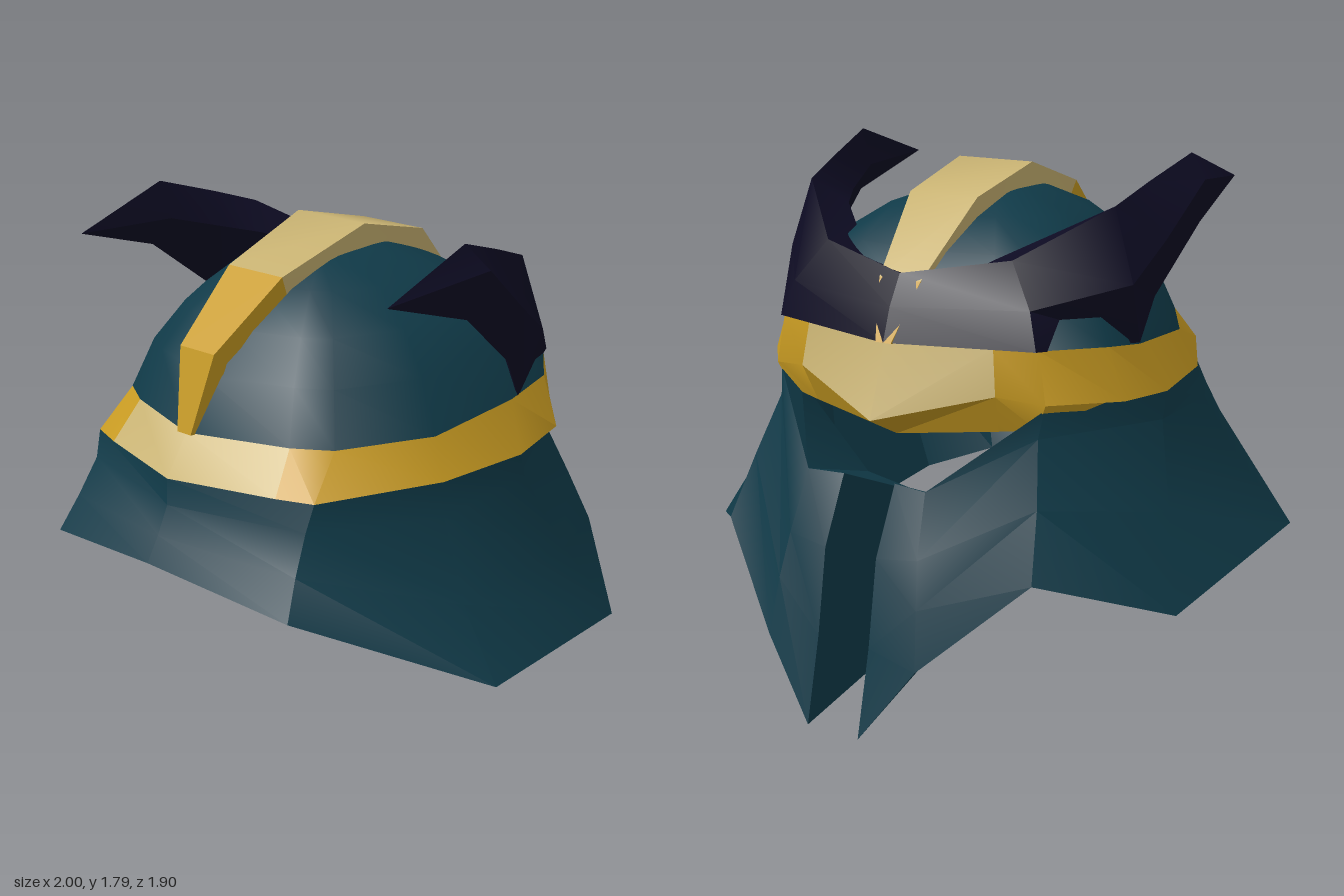
import * as THREE from 'three';
import { toCreasedNormals } from 'three/addons/utils/BufferGeometryUtils.js';

const mat = (name, color) => new THREE.MeshStandardMaterial({ name, color, side: THREE.DoubleSide });

// Surface through a list of columns, each a list of [x, y, z] points
function grid(cols, crease = 0.6) {
  const rows = cols[0].length, index = [];
  for (let i = 0; i < cols.length - 1; i++) {
    for (let j = 0; j < rows - 1; j++) {
      const a = i * rows + j, b = a + 1, c = b + rows, d = a + rows;
      index.push(a, b, c, a, c, d);
    }
  }
  const g = new THREE.BufferGeometry();
  g.setAttribute('position', new THREE.Float32BufferAttribute(cols.flat(2), 3));
  g.setIndex(index);
  return toCreasedNormals(g, crease);
}

const flip = ([x, y, z]) => [-x, y, z];
const flipCols = (cols) => cols.map((c) => c.map(flip)).reverse();
// Half columns starting on the centre plane, completed across it
const both = (cols) => [...flipCols(cols.slice(1)), ...cols];

export function createModel() {
  const model = new THREE.Group();
  model.name = 'helmet';
  const teal = mat('dark teal', 0x103a48);
  const gold = mat('gold', 0xc79a22);
  const tan = mat('pale gold', 0xc8b272);
  const navy = mat('dark navy', 0x0d0b22);
  const add = (name, geometry, material) => {
    const mesh = new THREE.Mesh(geometry, material);
    mesh.name = name;
    model.add(mesh);
  };

  // Brow band, front to back: top edge, outer edge, lower inner edge
  const band = [
    [[0, 1.17, 0.76], [0, 1.04, 0.85], [0, 1.04, 0.78]],
    [[0.34, 1.17, 0.645], [0.37, 1.04, 0.745], [0.34, 1.04, 0.68]],
    [[0.46, 1.17, 0.57], [0.49, 1.04, 0.7], [0.44, 1.04, 0.64]],
    [[0.62, 1.17, 0.27], [0.68, 1.04, 0.3], [0.62, 1.04, 0.28]],
    [[0.65, 1.2, -0.1], [0.73, 1.04, -0.05], [0.67, 1.04, -0.05]],
    [[0.64, 1.23, -0.3], [0.7, 1.06, -0.3], [0.64, 1.05, -0.29]],
    [[0.5, 1.24, -0.5], [0.53, 1.07, -0.51], [0.49, 0.98, -0.49]],
    [[0.36, 1.24, -0.545], [0.38, 1.09, -0.565], [0.36, 0.96, -0.51]],
    [[0, 1.24, -0.62], [0, 0.99, -0.71], [0, 0.91, -0.56]],
  ];
  const sideBand = band.slice(1, 8), backBand = band.slice(7).reverse();
  add('bandFront', grid(both(band.slice(0, 2))), tan);
  add('bandLeft', grid(sideBand), gold);
  add('bandRight', grid(flipCols(sideBand)), gold);
  add('bandBackPeak', grid(both(backBand.map((c) => c.slice(0, 2)))), tan);
  add('bandBackUnderside', grid(both(backBand.map((c) => c.slice(1)))), gold);

  // Dome rising from the band's top edge: height and remaining radius
  const levels = [[0, 1], [0.34, 0.88], [0.6, 0.72], [0.82, 0.5], [0.96, 0.25], [1, 0]];
  const dome = band.map(([[x, y, z]]) =>
    levels.map(([t, r]) => [x * r, y + (1.67 - y) * t, 0.07 + (z - 0.07) * r]).reverse());
  add('dome', grid(both(dome), 1.0), teal);

  // Flared skirt with cheek flaps: four outer points, inner lip, inner top
  const skirt = [
    [[0, 1.04, 0.85], [0, 0.95, 0.855], [0, 0.86, 0.9], [0, 0.78, 0.95], [0, 0.6, 0.52], [0, 1.04, 0.78]],
    [[0.49, 1.04, 0.7], [0.48, 0.95, 0.73], [0.5, 0.83, 0.8], [0.53, 0.71, 0.87], [0.25, 0.545, 0.45], [0.44, 1.04, 0.64]],
    [[0.68, 1.04, 0.3], [0.7, 0.93, 0.32], [0.83, 0.69, 0.38], [1, 0.48, 0.43], [0.43, 0.49, 0.27], [0.62, 1.04, 0.28]],
    [[0.73, 1.04, -0.05], [0.73, 0.95, -0.08], [0.82, 0.68, -0.2], [0.93, 0.4, -0.36], [0.5, 0.41, -0.2], [0.67, 1.04, -0.05]],
    [[0.52, 1.05, -0.5], [0.51, 0.96, -0.52], [0.56, 0.76, -0.61], [0.6, 0.55, -0.71], [0.36, 0.42, -0.43], [0.47, 1.0, -0.46]],
    [[0.23, 0.8, -0.74], [0.25, 0.6, -0.82], [0.27, 0.45, -0.86], [0.29, 0.26, -0.9], [0.2, 0.28, -0.42], [0.22, 0.7, -0.42]],
    [[0.1, 0.8, -0.72], [0.1, 0.58, -0.83], [0.1, 0.29, -0.88], [0.1, 0, -0.95], [0.065, 0.12, -0.4], [0.065, 0.62, -0.32]],
  ];
  add('skirt', grid(both(skirt.map((c) => [...c, c[0]]))), teal);

  // Inner walls of the flaps along the face gap
  const [p0, p1, p2, p3, lip, top] = skirt[6];
  const mix = (t) => top.map((v, i) => v + (lip[i] - v) * t);
  const wall = [[p0, top], [p1, mix(0.3)], [p2, mix(0.65)], [p3, lip]];
  add('leftFlapWall', grid(wall), teal);
  add('rightFlapWall', grid(flipCols(wall)), teal);

  // Crest strap over the dome: height, depth, half width
  const crest = [
    [1.17, 0.77, 0.03], [1.43, 0.7, 0.075], [1.63, 0.43, 0.118], [1.74, 0.06, 0.147],
    [1.66, -0.27, 0.132], [1.42, -0.53, 0.08], [1.23, -0.63, 0.03],
  ].map(([y, z, w]) => {
    const iy = 1.1 + (y - 1.1) * 0.86, iz = 0.07 + (z - 0.07) * 0.9;
    return [[-w * 0.9, iy, iz], [-w, y, z], [w, y, z], [w * 0.9, iy, iz]];
  });
  add('crestFront', grid(crest.slice(0, 3)), gold);
  add('crestTop', grid(crest.slice(2, 6)), tan);
  add('crestBack', grid(crest.slice(5)), gold);

  // Horns sweeping from the back centre forward: low, outer, ridge, inner
  const tip = [0.67, 1.67, 0.58];
  const horn = [
    [[0, 1.23, -0.63], [0, 1.34, -0.59], [0, 1.44, -0.53], [0, 1.42, -0.44]],
    [[0.5, 1.24, -0.52], [0.46, 1.36, -0.49], [0.36, 1.5, -0.43], [0.2, 1.45, -0.42]],
    [[0.66, 1.21, -0.12], [0.68, 1.42, -0.22], [0.6, 1.66, -0.2], [0.5, 1.57, -0.12]],
    [[0.67, 1.35, -0.04], [0.71, 1.54, -0.05], [0.63, 1.72, -0.02], [0.56, 1.6, -0.01]],
    [[0.7, 1.56, 0.23], [0.74, 1.71, 0.17], [0.67, 1.79, 0.21], [0.63, 1.66, 0.2]],
    [tip, tip, tip, tip],
  ].map((c) => [...c, c[0]]);
  add('leftHorn', grid(horn), navy);
  add('rightHorn', grid(flipCols(horn)), navy);

  return model;
}
